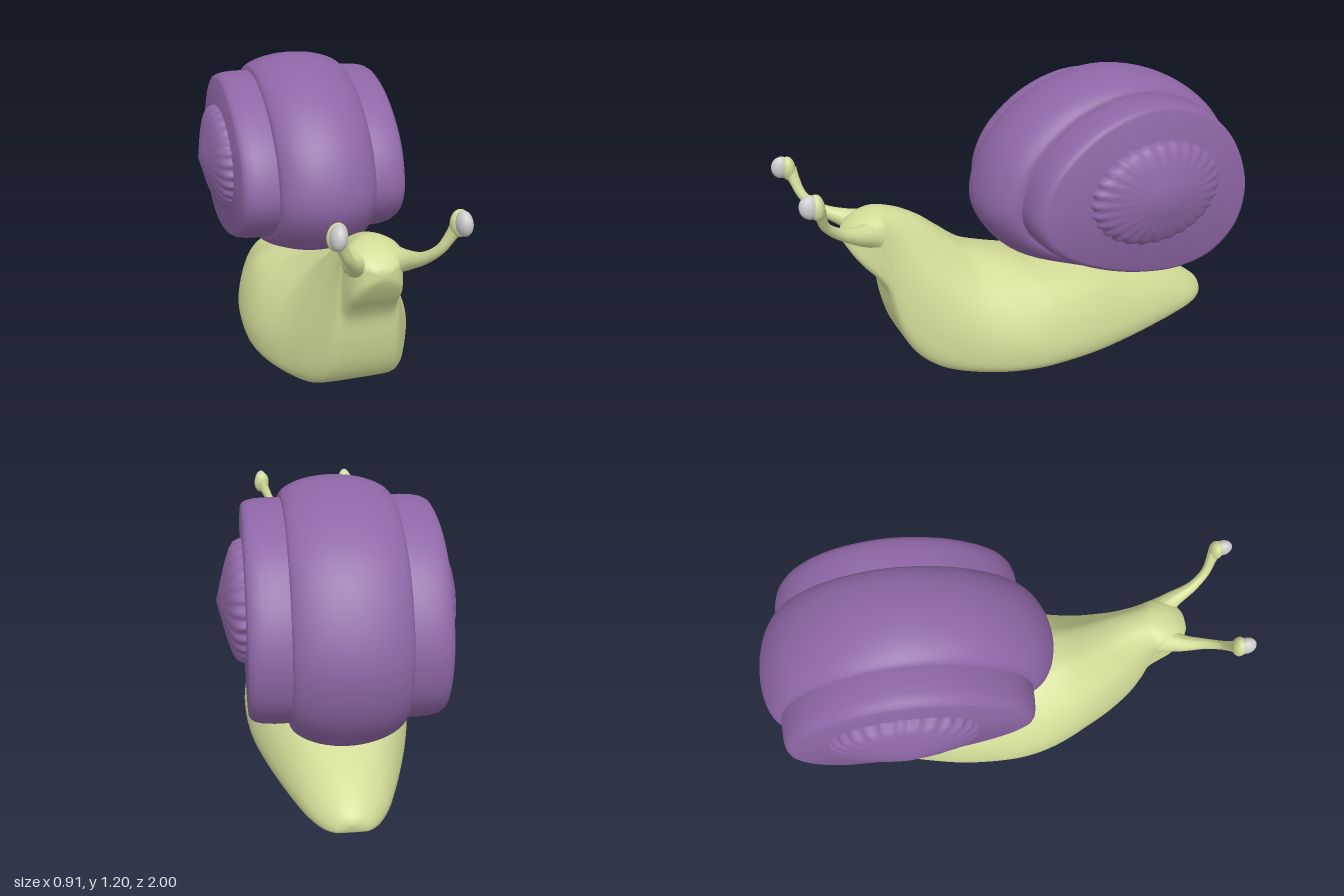
import * as THREE from 'three';
import { toCreasedNormals } from 'three/addons/utils/BufferGeometryUtils.js';

const V = (x, y, z) => new THREE.Vector3(x, y, z);
const skin = new THREE.MeshStandardMaterial({ color: 0xd2dc98 });
const shellMat = new THREE.MeshStandardMaterial({ color: 0x8e66a6 });
const grey = new THREE.MeshStandardMaterial({ color: 0xcccccc });

// Skins a list of closed rings (arrays of Vector3), facing outwards
function loft(rings, crease) {
  const n = rings[0].length;
  const pos = rings.flat().flatMap((p) => [p.x, p.y, p.z]);
  const all = rings.flat();
  const mid = all.reduce((a, p) => a.add(p), V(0, 0, 0)).divideScalar(all.length);
  const tris = [];
  let volume = 0;
  const add = (a, b, c) => {
    tris.push([a, b, c]);
    const [p, q, r] = [a, b, c].map((i) => all[i].clone().sub(mid));
    volume += p.dot(q.cross(r));
  };
  for (let i = 0; i < rings.length - 1; i++) {
    for (let j = 0; j < n; j++) {
      const a = i * n + j, b = i * n + (j + 1) % n;
      add(a, b, b + n);
      add(a, b + n, a + n);
    }
  }
  const g = new THREE.BufferGeometry();
  g.setAttribute('position', new THREE.Float32BufferAttribute(pos, 3));
  g.setIndex(tris.flatMap(([a, b, c]) => (volume > 0 ? [a, b, c] : [a, c, b])));
  return toCreasedNormals(g, crease);
}

function mesh(name, geometry, material) {
  const m = new THREE.Mesh(geometry, material);
  m.name = name;
  return m;
}

// Closed smooth outline from [z, y] pairs
const outline = (pts, n) => {
  const c = new THREE.CatmullRomCurve3(pts.map(([z, y]) => V(0, y, z)), true);
  return Array.from({ length: n }, (_, i) => c.getPoint(i / n));
};

const CENTRE = V(0, 0.735, -0.42);
const SIDE = outline([[0.115, 0.7], [0.06, 0.87], [-0.08, 1.01], [-0.24, 1.09], [-0.42, 1.12], [-0.63, 1.075],
  [-0.79, 0.96], [-0.89, 0.8], [-0.92, 0.65], [-0.88, 0.5], [-0.76, 0.39], [-0.58, 0.35],
  [-0.38, 0.37], [-0.18, 0.43], [-0.02, 0.51], [0.08, 0.6]], 96);
const MIDDLE = outline([[0.23, 0.69], [0.17, 0.89], [0.01, 1.065], [-0.18, 1.16], [-0.41, 1.195], [-0.66, 1.135],
  [-0.85, 1.0], [-0.96, 0.82], [-1.0, 0.65], [-0.95, 0.46], [-0.82, 0.32], [-0.635, 0.25],
  [-0.4, 0.28], [-0.15, 0.36], [0.08, 0.46], [0.185, 0.57]], 96);

function buildShell() {
  const shell = new THREE.Group();
  shell.name = 'shell';

  // Broad rounded middle whorl
  const N = 24, rings = [];
  for (let i = 0; i <= N; i++) {
    const u = -Math.cos((i / N) * Math.PI);
    const k = 0.1 + 0.9 * Math.pow(Math.max(0, 1 - u * u), 0.6);
    rings.push(SIDE.map((p, j) => p.clone().lerp(MIDDLE[j], k).setX(u * 0.205)));
  }
  const hub = (x) => SIDE.map(() => CENTRE.clone().setX(x));
  shell.add(mesh('middleWhorl', loft([hub(-0.205), ...rings, hub(0.205)], 0.7), shellMat));

  for (const s of [1, -1]) {
    // Side whorl with a rounded rim and flat face
    const sections = [[0.15, 0.98], [0.2, 1], [0.26, 1], [0.3, 0.994], [0.33, 0.978], [0.346, 0.955], [0.352, 0.925], [0.352, 0]];
    const side = sections.map(([x, k]) => SIDE.map((p) => CENTRE.clone().lerp(p, k).setX(s * x)));
    shell.add(mesh('sideWhorl', loft([hub(s * 0.15), ...side], 0.7), shellMat));

    // Fluted hub, ribs fading towards the tip
    const boss = [[0.34, 1], [0.365, 0.985], [0.385, 0.94], [0.4, 0.84], [0.418, 0.62], [0.436, 0.33], [0.455, 0]].map(([x, k]) =>
      Array.from({ length: 168 }, (_, j) => {
        const a = (j / 168) * Math.PI * 2;
        const r = k * (1 + 0.022 * k * Math.cos(28 * a));
        return V(s * x, 0.745 + 0.222 * r * Math.sin(a), -0.425 + 0.305 * r * Math.cos(a));
      }));
    shell.add(mesh('shellHub', loft(boss, 1), shellMat));
  }
  return shell;
}

function buildBody() {
  // z, bottom, top, foot half width, shoulder half width
  const stations = [
    [-0.93, 0.055, 0.065, 0.01, 0.01], [-0.92, 0.025, 0.085, 0.06, 0.035], [-0.88, 0.012, 0.12, 0.105, 0.06],
    [-0.8, 0.008, 0.17, 0.155, 0.09], [-0.7, 0.005, 0.22, 0.195, 0.12], [-0.6, 0.004, 0.26, 0.23, 0.15],
    [-0.4, 0.002, 0.32, 0.29, 0.2], [-0.2, 0, 0.38, 0.335, 0.245], [0, 0, 0.415, 0.35, 0.24],
    [0.1, 0, 0.455, 0.345, 0.2], [0.2, 0.003, 0.495, 0.325, 0.165], [0.3, 0.01, 0.54, 0.29, 0.138],
    [0.4, 0.025, 0.62, 0.245, 0.118], [0.48, 0.055, 0.685, 0.21, 0.108], [0.55, 0.11, 0.727, 0.175, 0.102],
    [0.6, 0.19, 0.747, 0.148, 0.1], [0.635, 0.31, 0.756, 0.125, 0.1], [0.655, 0.42, 0.757, 0.11, 0.1],
    [0.69, 0.48, 0.753, 0.105, 0.098], [0.74, 0.54, 0.735, 0.095, 0.085], [0.78, 0.6, 0.705, 0.07, 0.062],
    [0.8, 0.64, 0.68, 0.03, 0.03], [0.804, 0.66, 0.66, 0, 0],
  ];
  const rough = stations.map(([z, b, top, w, t]) => {
    const h = top - b;
    const half = [[0.45 * w, 0], [0.8 * w, 0.015], [0.95 * w, 0.08], [w, 0.22], [0.96 * w + 0.03 * t, 0.4],
      [0.6 * w + 0.4 * t, 0.65], [t, 0.86], [0.55 * t, 0.97]];
    const pts = [[0, 0], ...half, [0, 1], ...half.map(([x, v]) => [-x, v]).reverse()];
    const c = new THREE.CatmullRomCurve3(pts.map(([x, v]) => V(x, b + v * h, z)), true);
    return Array.from({ length: 72 }, (_, i) => c.getPoint(i / 72));
  });
  // Smooth along the length
  const lines = rough[0].map((_, j) => new THREE.CatmullRomCurve3(rough.map((r) => r[j])));
  const steps = (stations.length - 1) * 4;
  const rings = Array.from({ length: steps + 1 }, (_, i) => lines.map((c) => c.getPoint(i / steps)));
  const tail = rings[0].map(() => V(0, 0.06, -0.932));
  return mesh('body', loft([tail, ...rings], 1.2), skin);
}

function buildStalk(s) {
  const g = new THREE.Group();
  g.name = s > 0 ? 'leftEyeStalk' : 'rightEyeStalk';

  // Tapered stalk
  const path = new THREE.CatmullRomCurve3([V(s * 0.06, 0.67, 0.69), V(s * 0.1, 0.695, 0.765), V(s * 0.13, 0.735, 0.845),
    V(s * 0.165, 0.79, 0.9), V(s * 0.195, 0.85, 0.92), V(s * 0.212, 0.89, 0.93)]);
  const T = 28, R = 14;
  const tube = new THREE.TubeGeometry(path, T, 1, R);
  const p = tube.attributes.position;
  for (let i = 0; i <= T; i++) {
    const t = i / T, c = path.getPointAt(t);
    const r = 0.016 + 0.045 * Math.pow(1 - t, 3) + 0.012 * Math.pow(t, 6);
    for (let j = 0; j <= R; j++) {
      const k = i * (R + 1) + j;
      const v = V(0, 0, 0).fromBufferAttribute(p, k).sub(c).multiplyScalar(r).add(c);
      p.setXYZ(k, v.x, v.y, v.z);
    }
  }
  tube.computeVertexNormals();
  g.add(mesh('stalk', tube, skin));

  // Cup and eyeball at the tip
  const ball = (name, mat, pos, scale) => {
    const m = mesh(name, new THREE.SphereGeometry(1, 24, 16), mat);
    m.position.set(...pos);
    m.scale.set(...scale);
    m.rotation.z = s * 0.1;
    g.add(m);
  };
  ball('eyeCup', skin, [s * 0.214, 0.892, 0.935], [0.036, 0.05, 0.028]);
  ball('eyeball', grey, [s * 0.217, 0.9, 0.96], [0.029, 0.045, 0.04]);
  return g;
}

export function createModel() {
  const model = new THREE.Group();
  model.name = 'snail';
  model.add(buildBody(), buildShell(), buildStalk(1), buildStalk(-1));
  return model;
}
